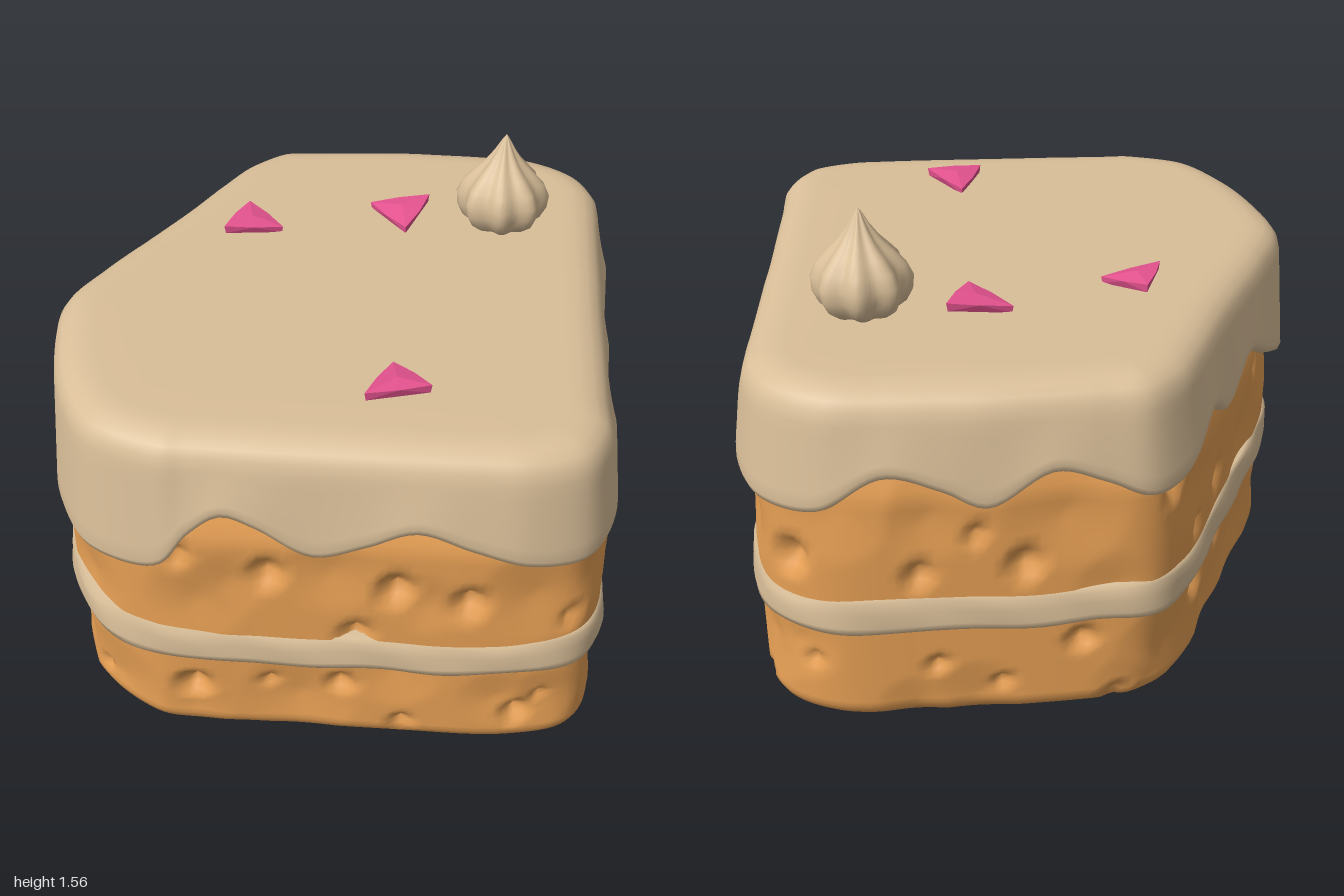
import * as THREE from 'three';
import { ConvexGeometry } from 'three/addons/geometries/ConvexGeometry.js';

// Icing outline with the height of its dripping edge: [x, drip height, z]
const ICING = [
  [-.955, .71, .15], [-.935, .68, .4], [-.86, .715, .66], [-.735, .72, .86], [-.51, .75, .965],
  [-.4, .89, .973], [-.3, .965, .977], [-.2, .93, .982], [-.03, .83, .987], [.13, .88, .992],
  [.28, .945, .997], [.45, .885, .999], [.62, .83, .99], [.8, .81, .915], [.885, .83, .76],
  [.893, .93, .6], [.898, .97, .48], [.902, .93, .4], [.908, .84, .25], [.913, .88, .12],
  [.918, .945, .03], [.924, .88, -.06], [.93, .835, -.18], [.936, .91, -.3], [.943, .98, -.43],
  [.95, .91, -.55], [.946, .83, -.68], [.875, .81, -.835], [.7, .83, -.955], [.5, .95, -.985],
  [.33, .9, -.995], [.2, .84, -1], [0, .95, -.99], [-.15, .9, -.98], [-.3, .83, -.96],
  [-.43, .84, -.85], [-.53, .95, -.68], [-.63, .84, -.48], [-.73, .93, -.3], [-.86, .81, -.07],
];
// Sponge outline: [x, 0, z]
const SPONGE = [
  [-.9, 0, .13], [-.89, 0, .38], [-.84, 0, .64], [-.72, 0, .835], [-.52, 0, .938], [-.2, 0, .95],
  [.2, 0, .96], [.6, 0, .957], [.8, 0, .895], [.872, 0, .76], [.885, 0, .5], [.9, 0, .1],
  [.912, 0, -.3], [.923, 0, -.6], [.86, 0, -.815], [.69, 0, -.925], [.35, 0, -.948],
  [-.1, 0, -.945], [-.31, 0, -.925], [-.43, 0, -.815], [-.61, 0, -.48], [-.83, 0, -.06],
];
const N = 260;

function seeded(seed) {
  return () => (seed = (seed * 16807) % 2147483647) / 2147483647;
}

// Sampled outline with outward normals
function sampleOutline(points) {
  const curve = new THREE.CatmullRomCurve3(points.map((p) => new THREE.Vector3(...p)), true);
  const pts = curve.getSpacedPoints(N).slice(0, N);
  return pts.map((p, i) => {
    const t = pts[(i + 3) % N].clone().sub(pts[(i + N - 3) % N]).setY(0).normalize();
    return { x: p.x, z: p.z, drip: p.y, nx: -t.z, nz: t.x, u: i / N };
  });
}

// Closed rings joined bottom to top; point(row, column) returns [x, y, z]
function loft(rows, cols, point) {
  const pos = [], idx = [];
  for (let j = 0; j < rows; j++) {
    for (let i = 0; i < cols; i++) pos.push(...point(j, i));
  }
  for (let j = 0; j < rows - 1; j++) {
    for (let i = 0; i < cols; i++) {
      const k = (i + 1) % cols;
      const a = j * cols + i, b = j * cols + k, c = a + cols, d = b + cols;
      idx.push(a, b, d, a, d, c);
    }
  }
  const g = new THREE.BufferGeometry();
  g.setAttribute('position', new THREE.Float32BufferAttribute(pos, 3));
  g.setIndex(idx);
  g.computeVertexNormals();
  return g;
}

const inset = (o, d, y) => [o.x - o.nx * d, y, o.z - o.nz * d];

// Sponge layer with crumb holes and broad dents; the base is rounded and closed if asked
function spongeGeometry(outline, y0, y1, holeTop, rounded, seed) {
  const rnd = seeded(seed), dents = [];
  const addDents = (count, r, depth) => {
    for (let k = 0; k < count; k++) {
      const o = outline[Math.floor((k + rnd()) * N / count) % N];
      const [x, y, z] = inset(o, 0, y0 + .06 + rnd() * (holeTop - y0 - .08));
      const size = .7 + rnd() * .6;
      dents.push({ x, y, z, r: r * size, depth: depth * size });
    }
  };
  addDents(24, .06, .055);
  addDents(22, .17, .024);
  const rows = [];
  if (rounded) rows.push([0, y0, true], [.2, y0], [.09, y0 + .002], [.045, y0 + .02], [.015, y0 + .05]);
  const steps = 18, start = rounded ? y0 + .08 : y0;
  for (let k = 0; k <= steps; k++) {
    const y = start + (y1 - start) * k / steps;
    // draws in beneath the icing
    rows.push([Math.max(0, y - .86) * .4, y]);
  }
  return loft(rows.length, N, (j, i) => {
    const [d, y, center] = rows[j], o = outline[i];
    if (center) return [0, y, 0];
    let dent = 0;
    for (const h of dents) {
      const q = Math.hypot(o.x - h.x, y - h.y, o.z - h.z) / h.r;
      if (q < 1) dent = Math.max(dent, h.depth * (1 - q));
    }
    return inset(o, d + dent, y);
  });
}

// Wavy cream band between the sponge layers, sagging along the front
function fillingGeometry(outline) {
  const rows = [[.08, 0], [.01, 0], [-.014, .06], [-.018, .25], [-.013, .6], [-.01, .9], [.005, 1], [.08, 1]];
  return loft(rows.length, N, (j, i) => {
    const o = outline[i], a = o.u * Math.PI * 2, front = Math.max(0, o.z);
    const low = .378 - .028 * front * (1 - o.x * o.x) + .006 * Math.sin(a * 13);
    const high = .505 - .035 * front * (1 - 1.5 * o.x * o.x) + .006 * Math.sin(a * 9);
    const d = rows[j][0] + .003 * Math.sin(a * 19 + j);
    return inset(o, d, low + (high - low) * rows[j][1]);
  });
}

// Icing shell: tucked lip, dripping side, rounded rim and flat top
function icingGeometry(outline) {
  const rows = [
    (o) => inset(o, .1, o.drip + .05), (o) => inset(o, .06, o.drip + .012),
    (o) => inset(o, .03, o.drip), (o) => inset(o, .008, o.drip + .012), (o) => inset(o, 0, o.drip + .035),
  ];
  for (let k = 1; k <= 6; k++) {
    rows.push((o) => inset(o, .035 * k / 6, o.drip + .035 + (1.12 - o.drip - .035) * k / 6));
  }
  for (const [d, y] of [[.045, 1.16], [.065, 1.187], [.095, 1.207], [.135, 1.217], [.18, 1.22]]) {
    rows.push((o) => inset(o, d, y));
  }
  rows.push((o) => [o.x * .5, 1.22, o.z * .5], () => [0, 1.22, 0]);
  return loft(rows.length, N, (j, i) => rows[j](outline[i]));
}

// Piped kiss with eight soft ridges, twisting slightly to the tip
function kissGeometry() {
  const profile = [[0, 0], [.1, 0], [.138, .03], [.158, .07], [.162, .115], [.142, .16],
    [.105, .2], [.068, .238], [.038, .28], [.015, .32], [0, .342]];
  const cols = 64;
  return loft(profile.length, cols, (j, i) => {
    const [r, y] = profile[j], a = i / cols * Math.PI * 2;
    const k = r * (.92 + .08 * Math.cos(8 * a + y * 5));
    // columns run counter-clockwise seen from above
    return [k * Math.cos(a), y, -k * Math.sin(a)];
  });
}

// Cushioned triangular petal from its three upper corners
function petalGeometry(corners) {
  const v = corners.map((p) => new THREE.Vector3(...p));
  const c = new THREE.Vector3().add(v[0]).add(v[1]).add(v[2]).divideScalar(3);
  const pts = [c.clone().setY(c.y + .012)];
  v.forEach((p, k) => {
    const mid = p.clone().add(v[(k + 1) % 3]).multiplyScalar(.5);
    pts.push(p, mid.lerp(c, -.12));
    const under = p.clone().lerp(c, .04);
    pts.push(under.setY(Math.max(1.215, under.y - .028)));
  });
  return new ConvexGeometry(pts);
}

export function createModel() {
  const sponge = new THREE.MeshStandardMaterial({ name: 'sponge orange', color: 0xe69f54 });
  const cream = new THREE.MeshStandardMaterial({ name: 'cream beige', color: 0xdabf99 });
  const pink = new THREE.MeshStandardMaterial({ name: 'petal pink', color: 0xe5538f });

  const model = new THREE.Group();
  model.name = 'cakeSlice';
  const add = (name, geometry, material) => {
    const mesh = new THREE.Mesh(geometry, material);
    mesh.name = name;
    model.add(mesh);
    return mesh;
  };

  const body = sampleOutline(SPONGE);
  add('lowerSponge', spongeGeometry(body, 0, .43, .38, true, 77), sponge);
  add('upperSponge', spongeGeometry(body, .43, 1.01, .88, false, 4242), sponge);
  add('creamFilling', fillingGeometry(body), cream);
  add('icing', icingGeometry(sampleOutline(ICING)), cream);
  add('pipedKiss', kissGeometry(), cream).position.set(.545, 1.218, -.39);

  const petals = [
    [[-.42, 1.262, -.22], [-.22, 1.238, -.27], [-.35, 1.265, -.4]],
    [[.08, 1.24, -.46], [.29, 1.268, -.48], [.21, 1.245, -.28]],
    [[.11, 1.255, .71], [.31, 1.265, .67], [.19, 1.238, .52]],
  ];
  petals.forEach((p, i) => add('petal' + (i + 1), petalGeometry(p), pink));
  return model;
}
